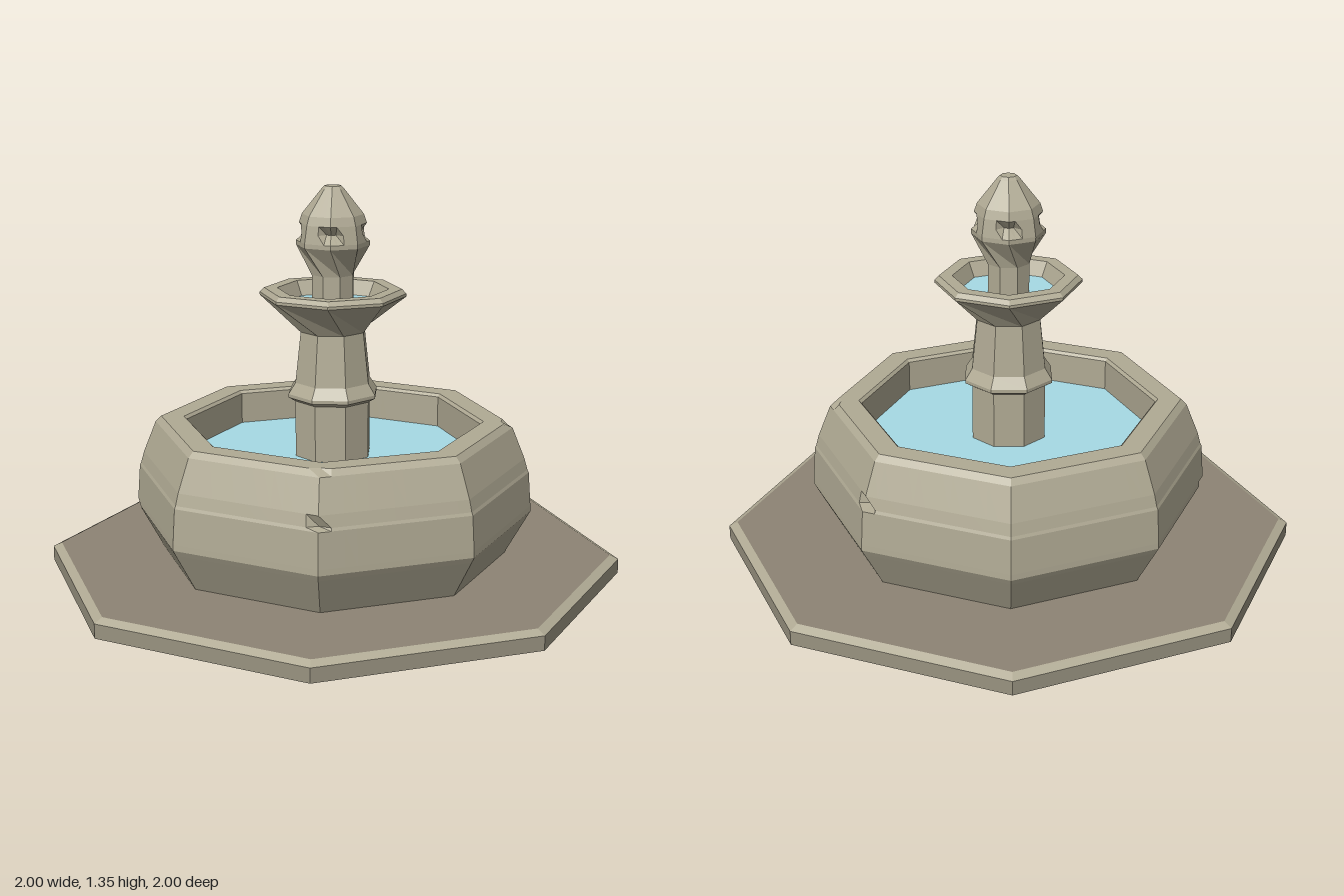
import * as THREE from 'three';

const SIDES = 8;
const STEP = (Math.PI * 2) / SIDES;

// Lofts octagonal rings, outer surface listed bottom to top.
// Ring: [radius, y, twist (1 = half a side)]
// sub: divisions of each side; warp: optional rule that moves points
function loft(rings, sub = 1, warp = null) {
  const n = SIDES * sub;
  const corner = ([r, y, twist = 0], k) => {
    const a = (k + twist / 2) * STEP;
    return new THREE.Vector3(Math.sin(a) * r, y, Math.cos(a) * r);
  };
  const point = (ring, i) => {
    const k = Math.floor(i / sub);
    const p = corner(ring, k).lerp(corner(ring, k + 1), (i % sub) / sub);
    if (warp) warp(p);
    return p;
  };
  const pos = [];
  const tri = (a, b, c) => {
    const area = b.clone().sub(a).cross(c.clone().sub(a)).length();
    if (area > 1e-8) for (const p of [a, b, c]) pos.push(p.x, p.y, p.z);
  };
  for (let s = 0; s < rings.length - 1; s++) {
    const low = rings[s], high = rings[s + 1];
    for (let i = 0; i < n; i++) {
      const j = (i + 1) % n;
      const a = point(low, i), b = point(low, j), c = point(high, j), d = point(high, i);
      tri(a, b, d);
      tri(b, c, d);
    }
  }
  const geo = new THREE.BufferGeometry();
  geo.setAttribute('position', new THREE.Float32BufferAttribute(pos, 3));
  geo.computeVertexNormals();
  return geo;
}

// Makes a rule that pushes points near each chip inwards.
// Chip: [corner number, radius, y, reach, depth]
function chipper(chips) {
  return (p) => {
    for (const [k, radius, y, reach, depth] of chips) {
      const x = Math.sin(k * STEP) * radius, z = Math.cos(k * STEP) * radius;
      if (Math.hypot(p.x - x, p.y - y, p.z - z) < reach) {
        const f = 1 - depth / Math.hypot(p.x, p.z);
        p.x *= f;
        p.z *= f;
      }
    }
  };
}

// Broken spots on the basin corners and the four spout hollows of the finial
const basinChips = chipper([
  [4, 0.675, 0.37, 0.008, 0.06],
  [1, 0.675, 0.37, 0.008, 0.03],
  [7, 0.69, 0.22, 0.008, 0.02],
  [1, 0.6, 0.54, 0.008, 0.02],
  [3, 0.6, 0.54, 0.008, 0.02],
]);
const spoutHollows = chipper([1, 3, 5, 7].map((k) => [k, 0.12, 1.195, 0.026, 0.03]));

export function createModel() {
  const material = (name, color) => {
    const m = new THREE.MeshStandardMaterial({ color });
    m.name = name;
    m.flatShading = true;
    return m;
  };
  const stone = material('stone', 0xb0aa94);
  const darkStone = material('darkStone', 0x989280);
  const paving = material('paving', 0x8d8474);
  const water = material('water', 0xa6dae5);

  const group = new THREE.Group();
  group.name = 'fountain';
  const add = (name, geo, mat) => {
    const mesh = new THREE.Mesh(geo, mat);
    mesh.name = name;
    group.add(mesh);
  };

  // Plinth with paved top and lighter bevelled edge
  add('plinthUnderside', loft([[0, 0], [1, 0]]), stone);
  add('plinthSide', loft([[1, 0], [1, 0.05]]), darkStone);
  add('plinthBevel', loft([[1, 0.05], [0.97, 0.065]]), stone);
  add('plinthTop', loft([[0.97, 0.065], [0, 0.065]]), paving);

  // Large basin with bulging wall, bevelled rim and inner wall
  add('basin', loft([
    [0.6, 0.06], [0.679, 0.2], [0.69, 0.22], [0.689, 0.24], [0.68, 0.36],
    [0.675, 0.37], [0.664, 0.41], [0.62, 0.52], [0.6, 0.54], [0.52, 0.54],
    [0.51, 0.53], [0.51, 0.4],
  ], 12, basinChips), stone);
  add('basinWater', loft([[0.512, 0.42], [0, 0.42]]), water);

  // Column with a collar, turned half a side against the basin
  add('column', loft([
    [0.135, 0.4, 1], [0.135, 0.615, 1], [0.16, 0.63, 1], [0.16, 0.642, 1],
    [0.135, 0.68, 1], [0.115, 0.86, 1],
  ]), stone);

  // Upper bowl flaring out of the column
  add('upperBowl', loft([
    [0.25, 0.975], [0.25, 0.985], [0.235, 1], [0.19, 1], [0.155, 0.93],
  ]), stone);
  add('upperBowlFlare', loft([[0.115, 0.855, -1], [0.25, 0.975, -2]]), stone);
  add('upperWater', loft([[0.166, 0.95], [0, 0.95]]), water);

  // Finial: stem and cup, then a pointed cap with spout hollows
  add('finialStem', loft([[0.075, 0.93, -1], [0.075, 1.05, -1], [0.125, 1.15, -2]]), stone);
  add('finialCap', loft([
    [0.125, 1.15], [0.125, 1.165], [0.12, 1.195], [0.115, 1.225], [0.105, 1.255],
    [0.038, 1.34], [0.028, 1.35], [0, 1.35],
  ], 4, spoutHollows), stone);

  return group;
}
